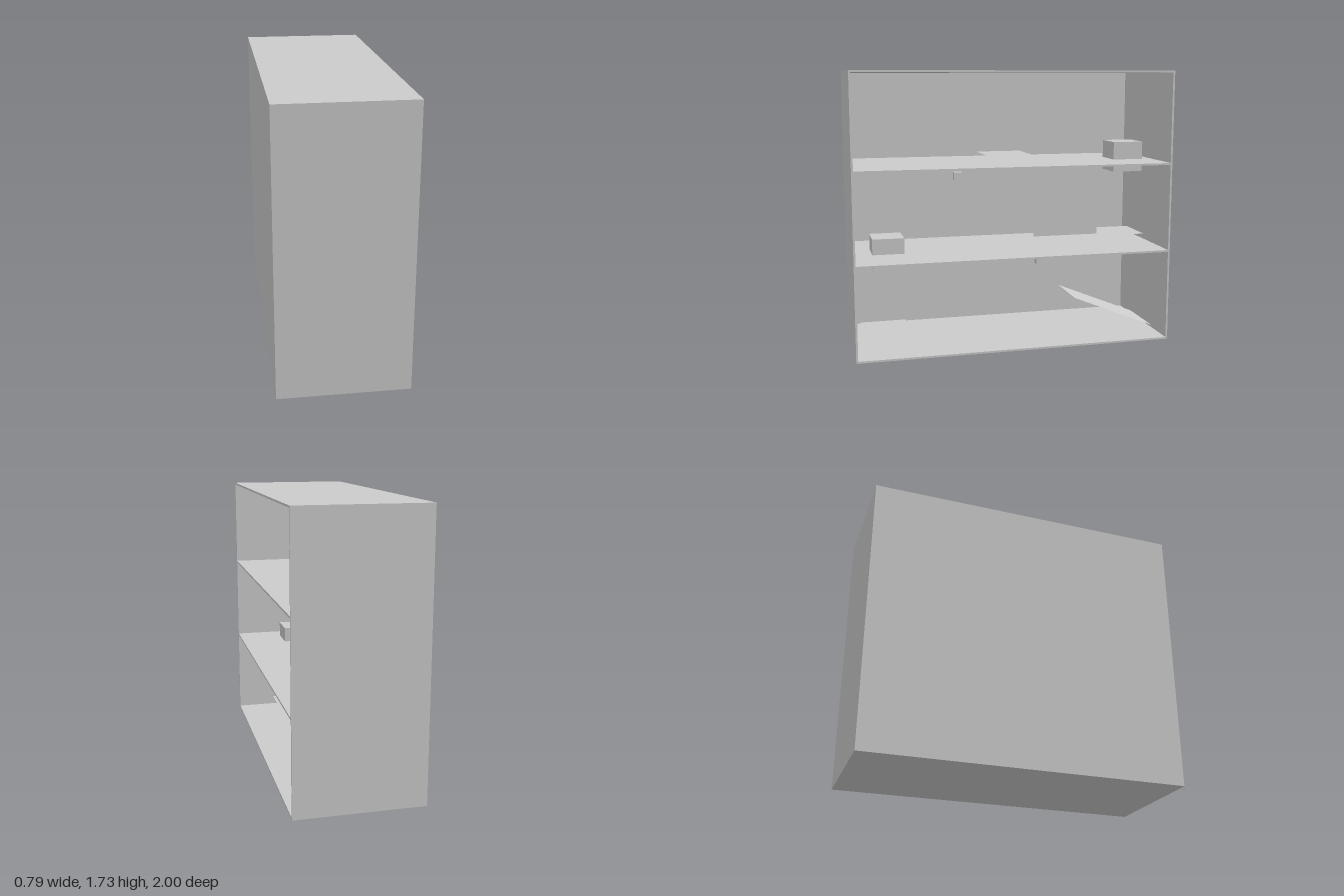
import * as THREE from 'three';

const W = 0.79, H = 1.725, L = 2, T = 0.012;

export function createModel() {
  const model = new THREE.Group();
  const solid = new THREE.MeshStandardMaterial({ color: 0xcccccc, flatShading: true });
  const thin = new THREE.MeshStandardMaterial({ color: 0xcccccc, flatShading: true, side: THREE.DoubleSide });

  const add = (name, geometry, material, x, y, z) => {
    const mesh = new THREE.Mesh(geometry, material);
    mesh.name = name;
    mesh.position.set(x, y, z);
    model.add(mesh);
    return mesh;
  };
  const box = (name, w, h, d, x, y, z) => add(name, new THREE.BoxGeometry(w, h, d), solid, x, y, z);

  // Case, open towards +x
  box('bottomPanel', W, T, L, 0, T / 2, 0);
  box('topPanel', W, T, L, 0, H - T / 2, 0);
  box('backWall', T, H - 2 * T, L, -W / 2 + T / 2, H / 2, 0);
  for (const [name, s] of [['frontEndWall', 1], ['rearEndWall', -1]])
    box(name, W - T, H - 2 * T, T, T / 2, H / 2, s * (L / 2 - T / 2));

  // Shelves dividing three levels
  for (const y of [0.584, 1.144])
    box('shelf', W - T, T, L - 2 * T, T / 2, y, 0);

  // Large blocks set into the shelves
  for (const [y, z] of [[0.592, 0.765], [1.167, -0.82]])
    box('block', 0.2, 0.195, 0.2, 0, y, z);

  // Small cubes under the shelves
  for (const [y, z] of [[0.482, -0.245], [1.06, 0.305]])
    box('smallCube', 0.05, 0.05, 0.05, 0, y, z);

  // Upright panels facing the open side
  for (const [x, y, z] of [[-0.196, 0.25, 0.375], [0.196, 0.81, -0.36], [-0.196, 1.367, 0.375], [-0.196, 1.367, -0.405]])
    add('uprightPanel', new THREE.PlaneGeometry(0.425, 0.26), thin, x, y, z).rotation.y = Math.PI / 2;

  // Flat mats, one on each level
  for (const [y, z] of [[0.09, 0.783], [0.655, -0.777], [1.2, 0]])
    add('mat', new THREE.PlaneGeometry(0.295, 0.295), thin, 0, y, z).rotation.x = -Math.PI / 2;

  // Ramp rising from the floor towards the front
  const ramp = add('ramp', new THREE.PlaneGeometry(0.36, Math.hypot(0.545, 0.222)), thin, 0, 0.141, -0.7125);
  ramp.rotation.x = -Math.PI / 2 - Math.atan2(0.222, 0.545);

  return model;
}
